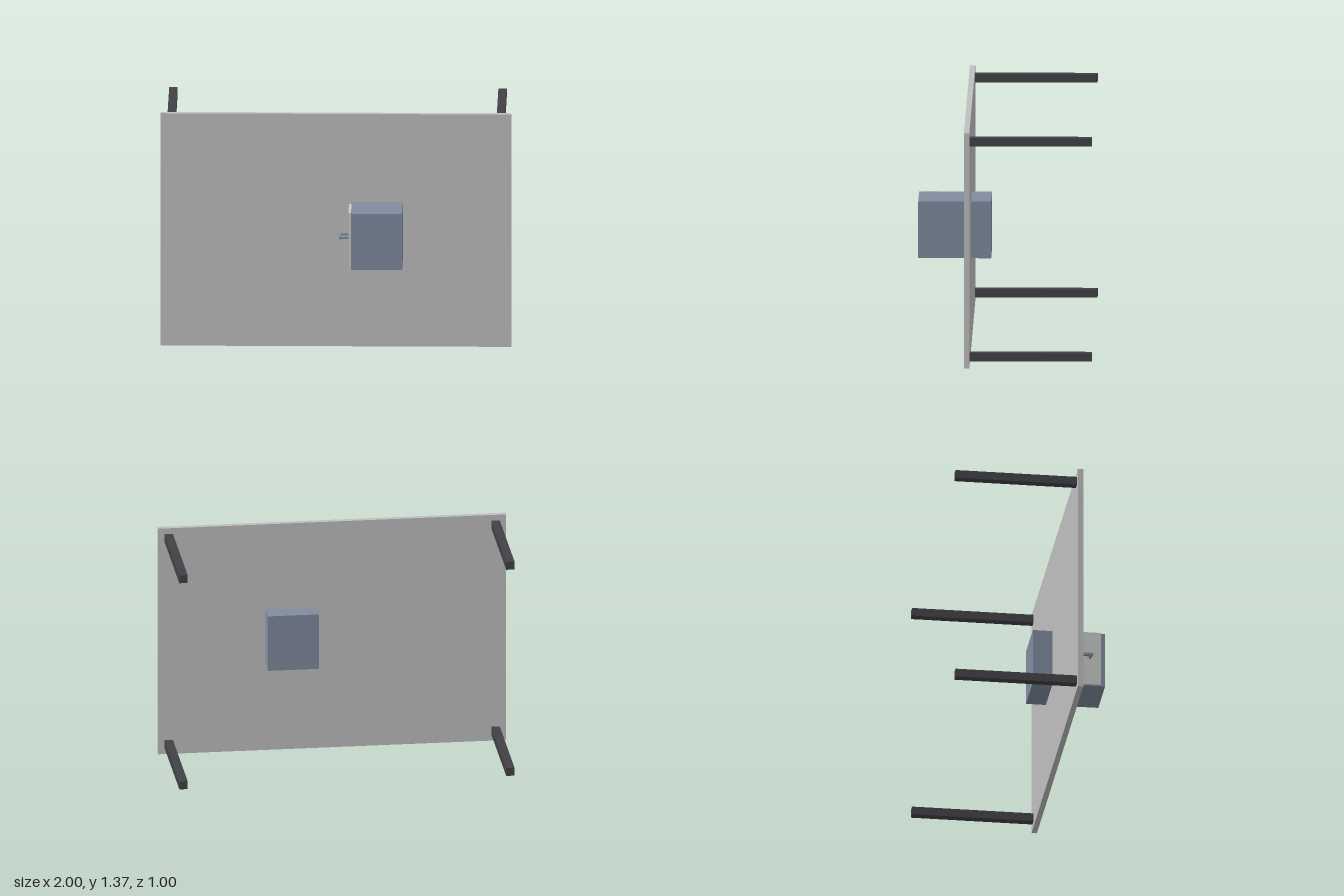
import * as THREE from 'three';

const material = (name, color) => {
  const m = new THREE.MeshStandardMaterial({ color });
  m.name = name;
  return m;
};

// Box given by its low and high limits on each axis
function block(name, mat, [x0, x1], [y0, y1], [z0, z1]) {
  const mesh = new THREE.Mesh(new THREE.BoxGeometry(x1 - x0, y1 - y0, z1 - z0), mat);
  mesh.position.set((x0 + x1) / 2, (y0 + y1) / 2, (z0 + z1) / 2);
  mesh.name = name;
  return mesh;
}

export function createModel() {
  const grey = material('light grey', 0xbfbfbf);
  const blue = material('slate blue', 0x808c9f);
  const dark = material('charcoal', 0x424246);
  const pale = material('pale front', 0xc8c8c6);

  const table = new THREE.Group();
  table.name = 'table';

  // Upright table top
  table.add(block('tableTop', grey, [-1, 1], [0, 1.368], [0.199, 0.23]));

  // Four legs pointing backwards
  for (const side of [-1, 1]) {
    for (const y of [0.06, 1.31]) {
      const x = side * 0.939;
      table.add(block('leg', dark, [x - 0.024, x + 0.024], [y - 0.024, y + 0.024], [-0.5, 0.199]));
    }
  }

  // Cabinet passing through the top
  table.add(block('cabinet', blue, [0.09, 0.382], [0.52, 0.85], [0.085, 0.501]));

  // Cabinet door with its handle on two posts
  table.add(block('door', pale, [0.075, 0.09], [0.522, 0.848], [0.272, 0.475]));
  const handle = new THREE.Group();
  handle.name = 'handle';
  handle.add(block('handleBar', blue, [0.02, 0.035], [0.678, 0.694], [0.32, 0.424]));
  for (const z of [0.333, 0.411]) {
    handle.add(block('handlePost', blue, [0.035, 0.075], [0.681, 0.691], [z - 0.006, z + 0.006]));
  }
  table.add(handle);
  return table;
}
